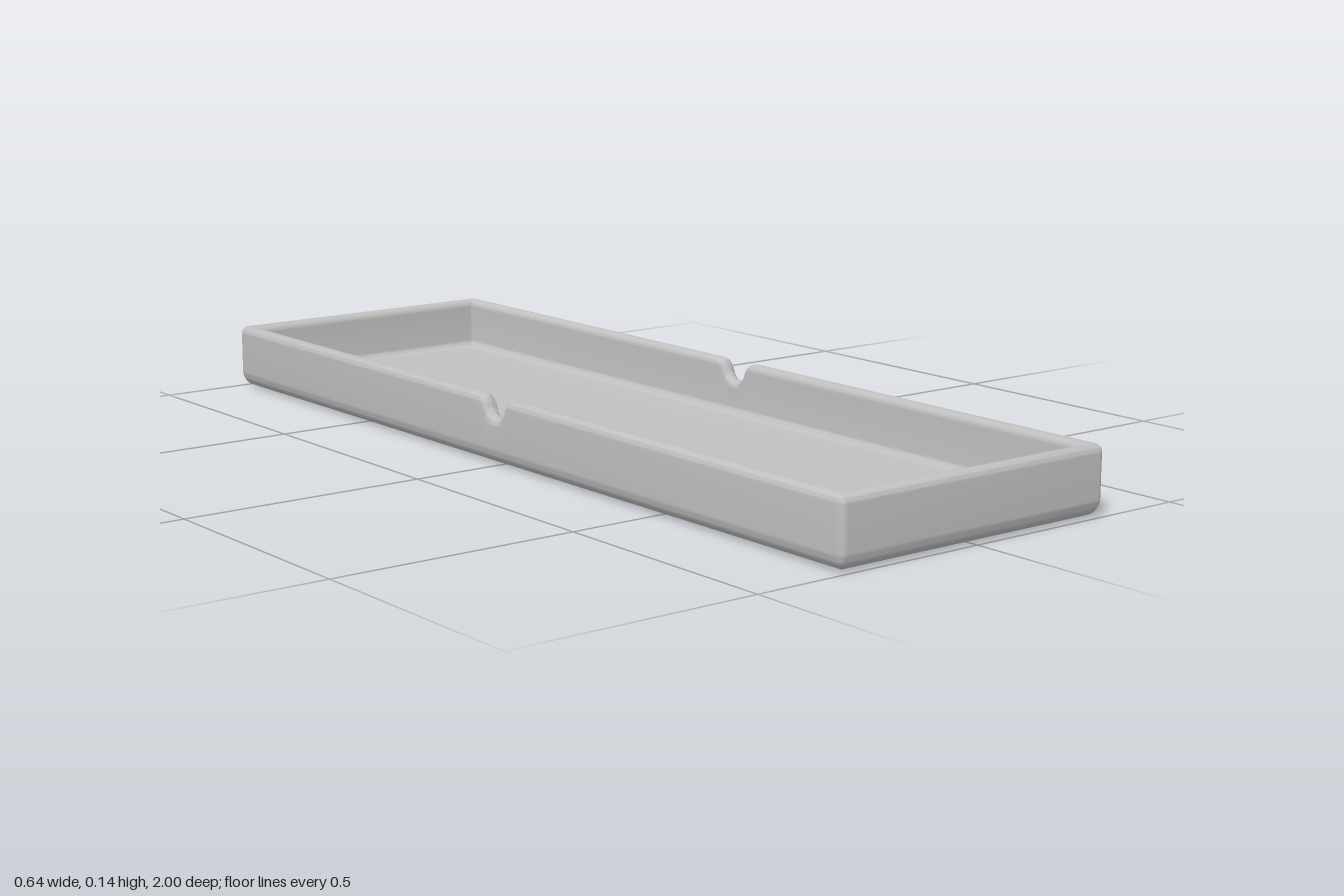
import * as THREE from 'three';
import { toCreasedNormals } from 'three/addons/utils/BufferGeometryUtils.js';

const HX = 0.32, HZ = 1, H = 0.136;      // half width, half length, height
const WALL = 0.032, FLOOR = 0.026;       // wall and floor thickness
const CORNER = 0.016;                    // radius of the upright edges

// points of an arc, from angle a to angle b in degrees
function arc(cx, cy, r, a, b, n) {
  return Array.from({ length: n + 1 }, (_, i) => {
    const t = THREE.MathUtils.degToRad(a + (b - a) * i / n);
    return [cx + r * Math.cos(t), cy + r * Math.sin(t)];
  });
}

// wall cross-section as [inset from the outside, height], from underside to floor
function wallProfile() {
  const rb = 0.034, rt = 0.016, rf = 0.02, e = 0.003;
  return [
    [rb + e, 0],
    ...arc(rb, rb, rb, 270, 180, 8),            // rounded bottom edge
    [0, rb + e], [0, H - rt - e],
    ...arc(rt, H - rt, rt, 180, 0, 12),         // rounded rim
    [WALL, H - rt - e], [WALL, FLOOR + rf + e],
    ...arc(WALL + rf, FLOOR + rf, rf, 180, 270, 6), // fillet to the floor
    [WALL + rf + e, FLOOR],
  ];
}

// finger notch as [z, drop]: round bottom flaring into the rim
function notchPoints() {
  const half = [
    ...arc(0, 0.007, 0.035, 90, 14, 6),
    ...arc(0.0534, 0.02, 0.02, 194, 270, 6).slice(1),
    [0.057, 0],
  ];
  return [...half.slice(1).reverse().map(([z, d]) => [-z, d]), ...half];
}

// one closed loop round the tray: [x, z, drop], counterclockwise from above
function planLoop(inset, notch) {
  const r = Math.max(CORNER - inset, 0);
  const ex = HX - inset - r, ez = HZ - inset - r;
  const sx = ex - 0.003, sz = ez - 0.003;
  const longSide = [[-sz, 0], ...notch, [sz, 0]];
  const corner = (x, z, a) => arc(x, -z, r, a, a + 90, 6).map(([px, pz]) => [px, -pz, 0]);
  return [
    ...corner(ex, -ez, 0),
    [sx, -ez - r, 0], [-sx, -ez - r, 0],
    ...corner(-ex, -ez, 90),
    ...longSide.map(([z, d]) => [-ex - r, z, d]),
    ...corner(-ex, ez, 180),
    [-sx, ez + r, 0], [sx, ez + r, 0],
    ...corner(ex, ez, 270),
    ...longSide.reverse().map(([z, d]) => [ex + r, z, d]),
  ];
}

function trayGeometry() {
  const notch = notchPoints();
  const loops = wallProfile().map(([inset, y]) =>
    planLoop(inset, notch).map(([x, z, d]) => [x, y > 0.1 ? y - d : y, z]));
  const n = loops[0].length, last = loops.length - 1;
  const positions = loops.flat(2), index = [];
  for (let i = 0; i < last; i++) {
    for (let j = 0; j < n; j++) {
      const k = (j + 1) % n;
      const a = i * n + j, b = i * n + k, c = a + n, d = b + n;
      index.push(a, b, c, b, d, c);
    }
  }
  // underside and floor
  const base = positions.length / 3;
  positions.push(0, 0, 0, 0, FLOOR, 0);
  for (let j = 0; j < n; j++) {
    const k = (j + 1) % n;
    index.push(base, k, j, base + 1, last * n + j, last * n + k);
  }
  const g = new THREE.BufferGeometry();
  g.setAttribute('position', new THREE.Float32BufferAttribute(positions, 3));
  g.setIndex(index);
  return toCreasedNormals(g, THREE.MathUtils.degToRad(40));
}

export function createModel() {
  const grey = new THREE.MeshStandardMaterial({ color: 0xc0c0c0 });
  grey.name = 'light grey';
  const tray = new THREE.Mesh(trayGeometry(), grey);
  tray.name = 'tray';
  const group = new THREE.Group();
  group.name = 'notchedTray';
  group.add(tray);
  return group;
}
